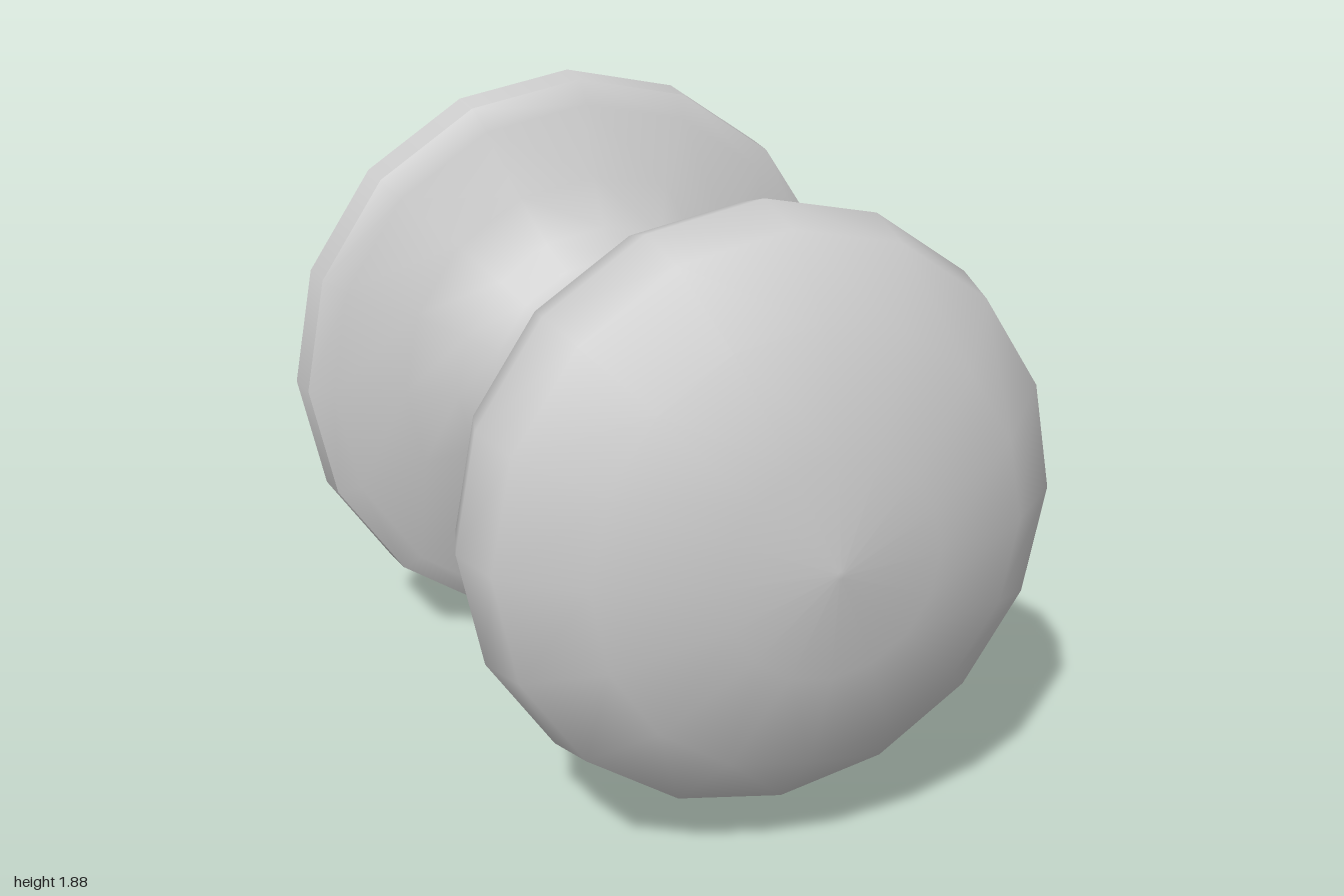
import * as THREE from 'three';

const SIDES = 16;
const CENTRE_Y = 0.942;

export function createModel() {
  const group = new THREE.Group();
  group.name = 'doorKnob';
  const material = new THREE.MeshStandardMaterial({ color: 0xcccccc });

  const add = (name, geometry) => {
    const mesh = new THREE.Mesh(geometry, material);
    mesh.name = name;
    mesh.position.y = CENTRE_Y;
    group.add(mesh);
    return mesh;
  };

  // Turned part along z; profile is [radius, z] from back to front.
  // Separate parts keep the creases between them sharp.
  const turned = (name, profile) => {
    const points = profile.map(([r, z]) => new THREE.Vector2(r, z));
    return add(name, new THREE.LatheGeometry(points, SIDES).rotateX(Math.PI / 2));
  };

  // Flat back of the mounting plate
  const back = add('plateBack', new THREE.CircleGeometry(0.94, SIDES).rotateY(Math.PI));
  back.position.z = -1;

  // Mounting plate: rim, then the flare up to the stem
  turned('plateRim', [[0.94, -1], [0.926, -0.877]]);
  turned('plateFlare', [
    [0.926, -0.877], [0.855, -0.823], [0.64, -0.757],
    [0.495, -0.66], [0.42, -0.568], [0.367, -0.537],
  ]);

  // Waisted stem
  turned('stem', [
    [0.367, -0.537], [0.355, -0.416], [0.286, -0.312], [0.28, -0.195],
    [0.325, -0.055], [0.445, 0.055], [0.6, 0.143],
  ]);

  // Rounded grip with its narrow collar
  turned('knob', [
    [0.6, 0.143], [0.625, 0.193], [0.785, 0.37], [0.828, 0.528],
    [0.785, 0.695], [0.592, 0.862], [0.295, 0.968], [0.01, 1], [0, 1],
  ]);

  return group;
}
